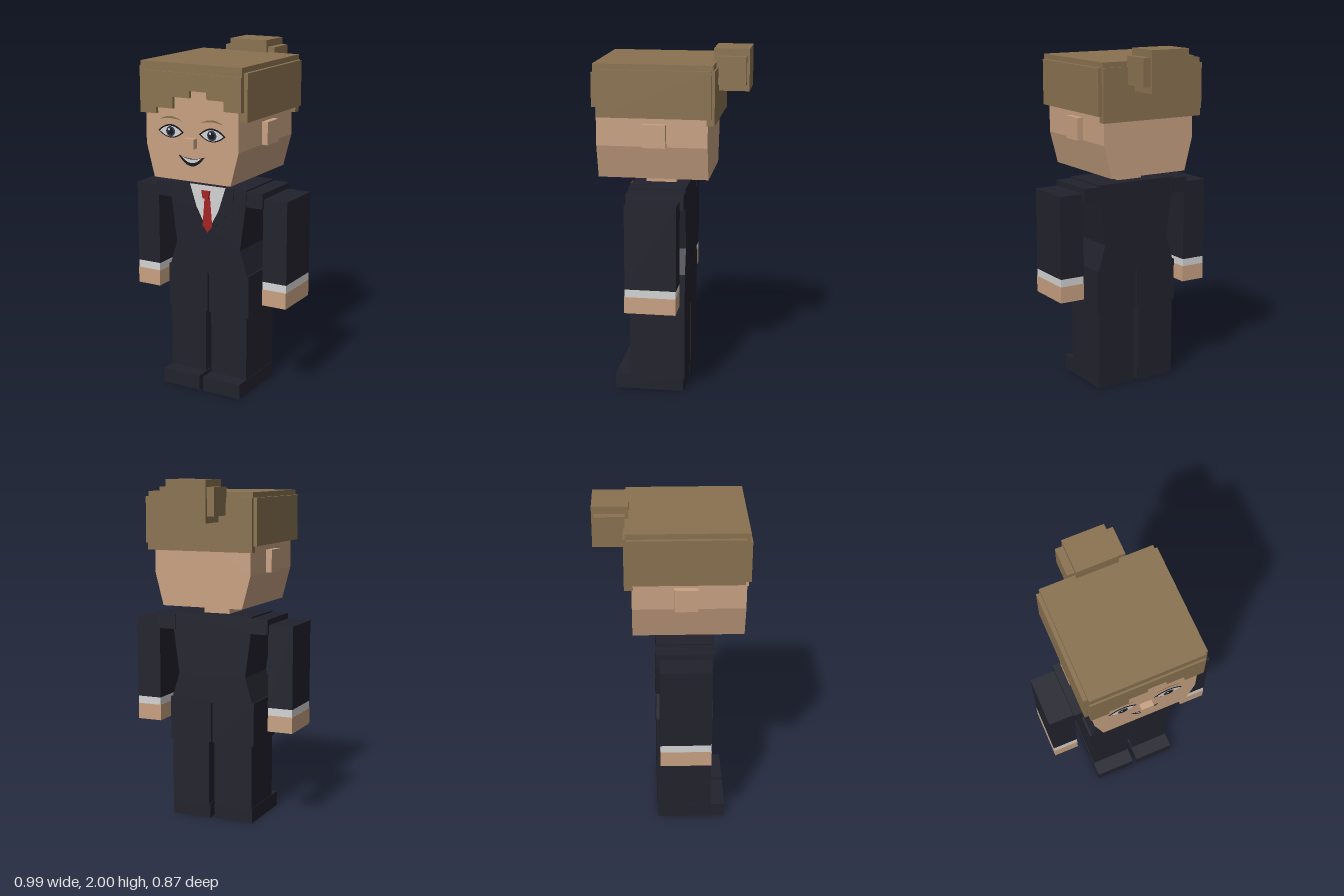
import * as THREE from 'three';

const mat = (name, color) => {
  const m = new THREE.MeshStandardMaterial({ color });
  m.name = name;
  return m;
};

export function createModel() {
  const model = new THREE.Group();
  model.name = 'suitedFigure';

  const skin = mat('skin', 0xc8a182);
  const hair = mat('hairBrown', 0x8a7250);
  const navy = mat('suitNavy', 0x22222d);
  const white = mat('shirtWhite', 0xd4d4d4);
  const red = mat('tieRed', 0xa42222);
  const ink = mat('ink', 0x16181f);
  const iris = mat('irisBlue', 0x343c52);

  const add = (name, geometry, material) => {
    const mesh = new THREE.Mesh(geometry, material);
    mesh.name = name;
    model.add(mesh);
    return mesh;
  };
  // Box given by its limits on each axis
  const box = (name, material, x0, x1, y0, y1, z0, z1) =>
    add(name, new THREE.BoxGeometry(x1 - x0, y1 - y0, z1 - z0), material)
      .position.set((x0 + x1) / 2, (y0 + y1) / 2, (z0 + z1) / 2);
  // The same box on both sides
  const pair = (name, material, x0, x1, ...rest) => {
    box(name + 'Left', material, x0, x1, ...rest);
    box(name + 'Right', material, -x1, -x0, ...rest);
  };
  const poly = (pts) => new THREE.Shape(pts.map(([x, y]) => new THREE.Vector2(x, y)));
  // Outline mirrored about x = 0, from right-hand points listed upwards
  const mirrored = (pts) => poly([...pts, ...[...pts].reverse().map(([x, y]) => [-x, y])]);
  const slab = (name, material, shape, z0, z1) => {
    const g = new THREE.ExtrudeGeometry(shape, { depth: z1 - z0, bevelEnabled: false, curveSegments: 8 });
    g.translate(0, 0, z0);
    return add(name, g, material);
  };
  const plate = (name, material, shape, z, x = 0, y = 0) => {
    const m = add(name, new THREE.ShapeGeometry(shape, 10), material);
    m.position.set(x, y, z);
    return m;
  };
  // Crescent or almond between two arcs
  const lens = (w, top, bottom) => {
    const s = new THREE.Shape();
    s.moveTo(-w, 0);
    s.quadraticCurveTo(0, bottom * 2, w, 0);
    s.quadraticCurveTo(0, top * 2, -w, 0);
    return s;
  };
  const disc = (r) => {
    const s = new THREE.Shape();
    s.absarc(0, 0, r, 0, Math.PI * 2, false);
    return s;
  };

  // Head, tapering to the jaw
  slab('head', skin, mirrored([[0.245, 1.28], [0.295, 1.47], [0.295, 1.88]]), -0.225, 0.4);
  box('neck', skin, -0.08, 0.08, 1.2, 1.29, -0.02, 0.155);
  box('nose', skin, -0.035, 0.035, 1.47, 1.525, 0.39, 0.435);
  pair('ear', skin, 0.285, 0.33, 1.47, 1.6, 0.005, 0.135);

  // Hair cap, sides, back and bun
  box('hairTop', hair, -0.32, 0.32, 1.8, 1.93, -0.255, 0.41);
  pair('hairSide', hair, 0.29, 0.342, 1.637, 1.9, -0.247, 0.387);
  box('hairBack', hair, -0.32, 0.32, 1.6, 1.9, -0.265, -0.22);
  box('bun', hair, -0.12, 0.12, 1.765, 2, -0.435, -0.235);
  box('bunSides', hair, -0.163, 0.163, 1.802, 1.96, -0.42, -0.255);

  // Stepped fringe
  const fringe = [[-0.32, 1.88]];
  const edges = [-0.32, -0.215, -0.107, 0, 0.107, 0.213, 0.32];
  [1.645, 1.68, 1.745, 1.785, 1.745, 1.69].forEach((y, i) => {
    fringe.push([edges[i], y], [edges[i + 1], y]);
  });
  fringe.push([0.32, 1.88]);
  slab('fringe', hair, poly(fringe), 0.385, 0.42);

  // Eyes and brows
  for (const [s, side] of [[1, 'Left'], [-1, 'Right']]) {
    const x = s * 0.132, y = 1.55;
    plate('eyeOutline' + side, ink, lens(0.083, 0.04, -0.036), 0.402, x, y);
    plate('eyeWhite' + side, white, lens(0.071, 0.031, -0.03), 0.404, x, y);
    plate('iris' + side, iris, disc(0.029), 0.406, x, y);
    plate('pupil' + side, ink, disc(0.02), 0.408, x, y);
    plate('glint' + side, white, disc(0.007), 0.41, x - 0.008, y + 0.012);
    plate('brow' + side, hair, lens(0.072, 0.023, 0.011), 0.403, x, 1.612);
  }

  // Smiling mouth
  plate('mouth', ink, lens(0.085, -0.016, -0.059), 0.402, 0, 1.425);
  plate('teeth', white, lens(0.066, -0.014, -0.034), 0.404, 0, 1.419);

  // Jacket
  slab('jacket', navy, mirrored([
    [0.21, 0.7], [0.25, 0.7], [0.255, 0.72], [0.21, 0.865], [0.245, 1.125], [0.25, 1.222],
  ]), -0.095, 0.23);
  pair('shoulder', navy, 0.235, 0.35, 1.125, 1.213, -0.1, 0.226);
  pair('jacketSkirt', navy, 0.006, 0.266, 0.465, 0.72, -0.096, 0.231);

  // Shirt front, lapels and tie
  plate('shirtFront', white, mirrored([[0, 0.95], [0.075, 1.09], [0.118, 1.221]]), 0.232);
  const lapel = [[0.012, 0.95], [0.165, 1.1], [0.13, 1.125], [0.165, 1.145], [0.17, 1.221], [0.118, 1.221], [0.075, 1.09]];
  slab('lapelLeft', navy, poly(lapel), 0.23, 0.235);
  slab('lapelRight', navy, poly(lapel.map(([x, y]) => [-x, y])), 0.23, 0.235);
  plate('tieBlade', red, mirrored([[0, 0.945], [0.032, 0.985], [0.018, 1.155]]), 0.237);
  slab('tieKnot', red, mirrored([[0.018, 1.15], [0.027, 1.195]]), 0.246, 0.259);

  // Arms with cuffs and hands
  pair('sleeve', navy, 0.345, 0.495, 0.7, 1.18, -0.078, 0.21);
  pair('cuff', white, 0.346, 0.494, 0.655, 0.7, -0.076, 0.211);
  pair('hand', skin, 0.345, 0.495, 0.56, 0.655, -0.076, 0.214);

  // Legs and shoes
  pair('leg', navy, 0.018, 0.253, 0.08, 0.7, -0.094, 0.229);
  pair('shoe', navy, 0.013, 0.256, 0, 0.088, -0.087, 0.315);

  return model;
}
